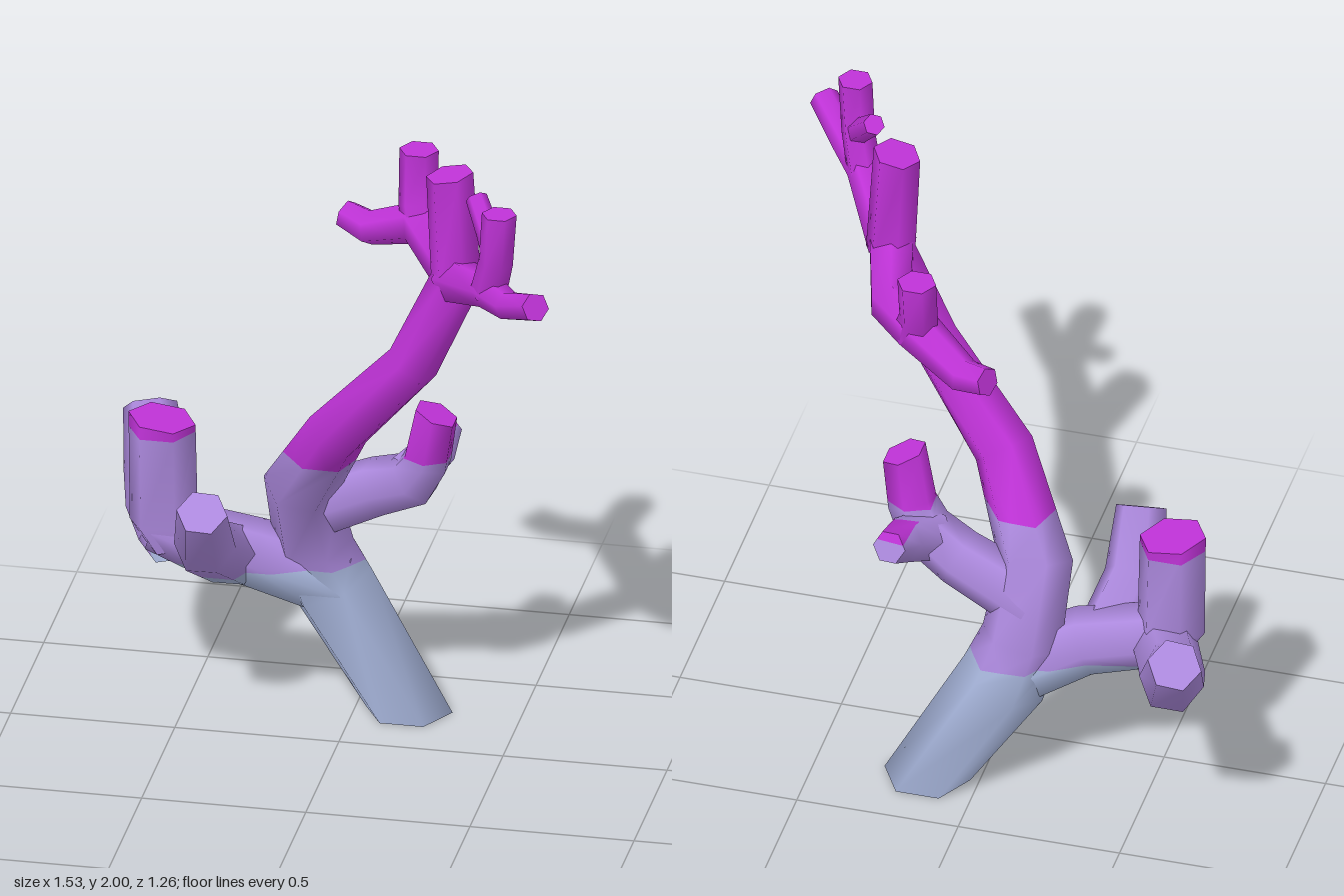
import * as THREE from 'three';

const V = (x, y, z) => new THREE.Vector3(x, y, z);
const SIDES = 6;
const BANDS = [-1, 0.49, 0.91, 3]; // heights where the colour changes

// Keep the part of a polygon with sign * (y - h) >= 0
function clip(poly, h, sign) {
  const out = [];
  poly.forEach((a, i) => {
    const b = poly[(i + 1) % poly.length];
    const da = sign * (a.p.y - h), db = sign * (b.p.y - h);
    if (da >= 0) out.push(a);
    if (da * db < 0) {
      const t = da / (da - db);
      out.push({ p: a.p.clone().lerp(b.p, t), n: a.n.clone().lerp(b.n, t).normalize() });
    }
  });
  return out;
}

// Six-sided tube through points [x, y, z, radius], capped at the far end and split by height
function branch(name, pts, materials, { ref = V(1, 0, 0), startDir = null, endDir = null } = {}) {
  const c = pts.map(p => V(p[0], p[1], p[2]));
  const last = c.length - 1;
  const dir = i => c[i + 1].clone().sub(c[i]).normalize();
  const rings = c.map((p, i) => {
    let t;
    if (i === 0) t = startDir || dir(0);
    else if (i === last) t = endDir || dir(last - 1);
    else t = dir(i - 1).add(dir(i)).normalize();
    const u = ref.clone().addScaledVector(t, -ref.dot(t)).normalize();
    const w = t.clone().cross(u);
    return Array.from({ length: SIDES }, (_, k) => {
      const a = (k / SIDES) * Math.PI * 2;
      const n = u.clone().multiplyScalar(Math.cos(a)).addScaledVector(w, Math.sin(a));
      return { p: p.clone().addScaledVector(n, pts[i][3]), n };
    });
  });

  const polys = [];
  for (let i = 0; i < last; i++) {
    for (let k = 0; k < SIDES; k++) {
      const m = (k + 1) % SIDES;
      const [a, b, d, e] = [rings[i][k], rings[i][m], rings[i + 1][m], rings[i + 1][k]];
      polys.push([a, b, d], [a, d, e]);
    }
  }
  const tip = endDir || dir(last - 1);
  polys.push(rings[last].map(v => ({ p: v.p, n: tip })));

  const pos = [], nor = [];
  const geo = new THREE.BufferGeometry();
  for (let band = 0; band < 3; band++) {
    const start = pos.length / 3;
    for (const poly of polys) {
      const q = clip(clip(poly, BANDS[band], 1), BANDS[band + 1], -1);
      for (let j = 1; j + 1 < q.length; j++) {
        for (const v of [q[0], q[j], q[j + 1]]) {
          pos.push(v.p.x, v.p.y, v.p.z);
          nor.push(v.n.x, v.n.y, v.n.z);
        }
      }
    }
    const count = pos.length / 3 - start;
    if (count) geo.addGroup(start, count, band);
  }
  geo.setAttribute('position', new THREE.Float32BufferAttribute(pos, 3));
  geo.setAttribute('normal', new THREE.Float32BufferAttribute(nor, 3));
  const mesh = new THREE.Mesh(geo, materials);
  mesh.name = name;
  return mesh;
}

export function createModel() {
  const group = new THREE.Group();
  group.name = 'branchingCoral';
  const mats = [['baseGreyBlue', 0xa6b4da], ['middleLilac', 0xab88dc], ['tipMagenta', 0xc033d8]].map(([name, color]) => {
    const m = new THREE.MeshStandardMaterial({ color, side: THREE.DoubleSide });
    m.name = name;
    return m;
  });
  const add = (name, pts, opt) => group.add(branch(name, pts, mats, opt));
  const up = V(0, 1, 0), z = V(0, 0, 1);

  // Trunk, open at the foot, rising into the main stem and its top stalk
  add('mainStem', [
    [0.16, 0, -0.265, 0.133], [-0.075, 0.4, -0.265, 0.135], [-0.125, 0.54, -0.24, 0.125],
    [-0.145, 0.77, -0.155, 0.115], [0.0, 1.04, 0.015, 0.095], [0.25, 1.335, 0.12, 0.08],
    [0.385, 1.63, 0.138, 0.078], [0.365, 1.975, 0.135, 0.073],
  ], { startDir: up, endDir: V(-0.18, 0.98, 0).normalize() });

  // Low right-hand limb with an upright stub and two side arms
  add('lowRightLimb', [
    [-0.06, 0.42, -0.26, 0.12], [-0.3, 0.52, -0.175, 0.105], [-0.47, 0.56, -0.16, 0.1], [-0.59, 0.6, -0.16, 0.09],
  ], { ref: z });
  add('uprightStub', [
    [-0.54, 0.53, -0.16, 0.07], [-0.565, 0.62, -0.155, 0.105], [-0.57, 0.945, -0.155, 0.103],
  ], { endDir: V(0.13, 0.99, 0).normalize() });
  add('lowBackArm', [
    [-0.54, 0.56, -0.15, 0.1], [-0.615, 0.58, -0.33, 0.1], [-0.65, 0.64, -0.46, 0.098], [-0.69, 0.785, -0.57, 0.082],
  ]);
  add('lowFrontArm', [
    [-0.36, 0.51, -0.16, 0.1], [-0.4, 0.63, 0.04, 0.095], [-0.385, 0.795, 0.16, 0.077],
  ]);

  // Middle left-hand limb, turning upward, with a short back twig
  add('middleLeftLimb', [
    [-0.15, 0.66, -0.21, 0.1], [0.08, 0.765, -0.19, 0.09], [0.2, 0.82, -0.15, 0.085], [0.245, 0.9, -0.13, 0.075],
    [0.275, 1.06, -0.11, 0.07],
  ], { ref: z, endDir: V(0.38, 0.92, 0).normalize() });
  add('middleBackTwig', [
    [0.17, 0.81, -0.16, 0.08], [0.235, 0.855, -0.27, 0.07], [0.25, 0.895, -0.37, 0.052],
  ]);

  // Crown arm reaching forward, with its stalk and twig
  add('crownFrontArm', [
    [0.38, 1.63, 0.14, 0.075], [0.53, 1.715, 0.37, 0.055], [0.61, 1.72, 0.47, 0.045], [0.72, 1.785, 0.6, 0.045],
  ]);
  add('crownFrontStalk', [
    [0.53, 1.71, 0.37, 0.055], [0.56, 1.83, 0.405, 0.052], [0.575, 2.0, 0.428, 0.053],
  ], { endDir: up });
  add('crownFrontTwig', [
    [0.56, 1.83, 0.4, 0.04], [0.525, 1.89, 0.34, 0.037], [0.472, 1.97, 0.265, 0.033],
  ]);

  // Crown arm reaching back, with its stalk
  add('crownBackArm', [
    [0.38, 1.63, 0.13, 0.075], [0.33, 1.565, -0.06, 0.068], [0.2, 1.625, -0.24, 0.07],
    [0.03, 1.55, -0.33, 0.055], [-0.055, 1.57, -0.37, 0.046],
  ], { ref: up });
  add('crownBackStalk', [
    [0.21, 1.6, -0.23, 0.065], [0.19, 1.68, -0.255, 0.06], [0.185, 1.84, -0.295, 0.06],
  ], { endDir: up });

  return group;
}
